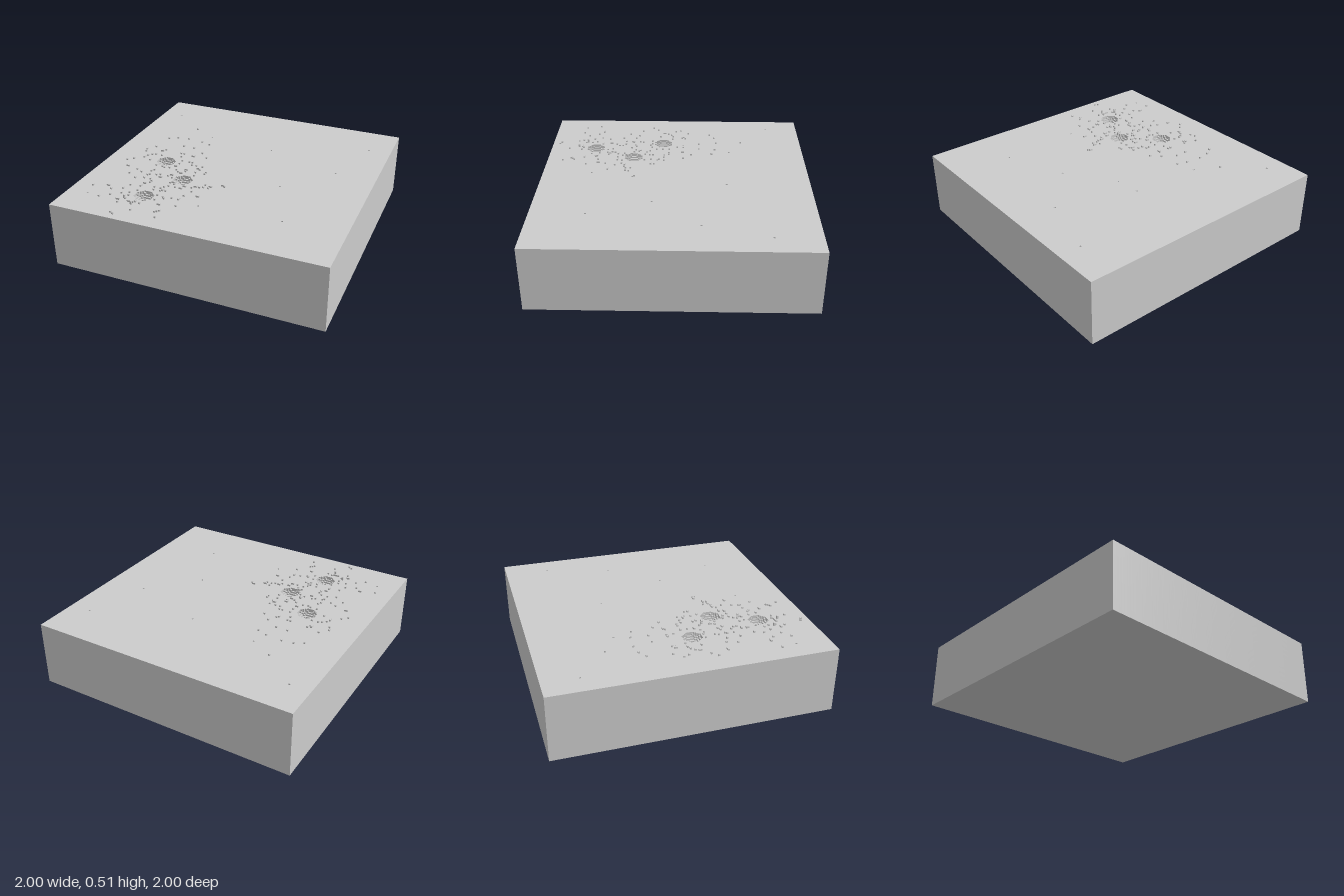
import * as THREE from 'three';
import { mergeGeometries } from 'three/addons/utils/BufferGeometryUtils.js';

const N = 160;            // cells per side
const V = 2 / N;          // cell size
const GROUND = 39;        // ground height in cells

const cell = (p) => Math.floor((p + 1) / V);
const coord = (i) => i * V - 1;

const craters = [[-0.55, 0.1], [-0.31, 0.334], [-0.452, 0.647]].map(([x, z]) => [cell(x), cell(z)]);
const pits = [
  [-0.84, -0.74], [0.83, -0.67], [0.12, -0.38], [0.69, -0.2], [0.38, 0.16],
  [0.55, 0.6], [-0.41, -0.42], [-0.04, 0.63], [-0.84, 0.76],
].map(([x, z]) => [cell(x), cell(z)]);

// Ground height in cells: spherical bowls and single-cell pits sunk into a flat slab
function groundHeight(i, j) {
  if (i < 0 || j < 0 || i >= N || j >= N) return 0;
  for (const [ci, cj] of craters) {
    const r2 = (i - ci) ** 2 + (j - cj) ** 2;
    if (r2 < 30) return GROUND - Math.floor(Math.sqrt(30.25 - r2));
  }
  return pits.some(([a, b]) => a === i && b === j) ? GROUND - 1 : GROUND;
}

// Stepped slab surface: tops merged along rows, walls wherever the height changes
function groundGeometry() {
  const pos = [];
  const quad = (a, b, c, d) => pos.push(...a, ...b, ...c, ...a, ...c, ...d);
  for (let j = 0; j <= N; j++) {
    const z0 = coord(j), z1 = coord(j + 1);
    let start = 0;
    for (let i = 0; i <= N; i++) {
      const x0 = coord(i), x1 = coord(i + 1);
      const h = groundHeight(i, j);
      const left = groundHeight(i - 1, j), back = groundHeight(i, j - 1);
      if (left !== h) {
        const lo = h * V, hi = left * V;
        quad([x0, lo, z1], [x0, lo, z0], [x0, hi, z0], [x0, hi, z1]);
        if (left > 0) {
          const xs = coord(start);
          quad([xs, hi, z0], [xs, hi, z1], [x0, hi, z1], [x0, hi, z0]);
        }
        start = i;
      }
      if (back !== h) {
        const lo = h * V, hi = back * V;
        quad([x0, lo, z0], [x1, lo, z0], [x1, hi, z0], [x0, hi, z0]);
      }
    }
  }
  // Underside
  quad([-1, 0, -1], [1, 0, -1], [1, 0, 1], [-1, 0, 1]);
  const geo = new THREE.BufferGeometry();
  geo.setAttribute('position', new THREE.Float32BufferAttribute(pos, 3));
  geo.computeVertexNormals();
  return geo;
}

function seeded(seed) {
  return () => {
    seed = (seed * 16807) % 2147483647;
    return seed / 2147483647;
  };
}

// Small cubes thrown out around each crater
function debrisGeometry() {
  const random = seeded(4271);
  const cubes = new Map();
  const add = (i, j, level = 0) => {
    if (groundHeight(i, j) !== GROUND) return;
    cubes.set(`${i},${j},${level}`, [i, j, level]);
  };
  for (const [ci, cj] of craters) {
    for (let k = 0; k < 46; k++) {
      const angle = (k + random()) * 2.4;
      const reach = 7 + 19 * random();
      const i = Math.round(ci + reach * Math.cos(angle));
      const j = Math.round(cj + reach * Math.sin(angle));
      add(i, j);
      // Occasional clumps of two
      if (k % 11 === 0) add(i + 1, j);
    }
  }
  // Farthest pieces
  for (const [x, z] of [[-0.58, -0.52], [-0.57, -0.32], [-0.65, -0.31], [-0.44, -0.31],
    [-0.37, -0.28], [-0.72, -0.27], [0.02, 0.32], [-0.07, 0.36], [-0.87, 0.64], [-0.53, 0.945]]) {
    add(cell(x), cell(z));
  }
  // Stacked pairs
  for (const [x, z] of [[-0.565, 0.715], [-0.48, 0.785]]) {
    add(cell(x), cell(z));
    add(cell(x), cell(z), 1);
  }
  return mergeGeometries([...cubes.values()].map(([i, j, level]) =>
    new THREE.BoxGeometry(V, V, V).translate(
      coord(i + 0.5), (GROUND + level + 0.5) * V, coord(j + 0.5))));
}

export function createModel() {
  const group = new THREE.Group();
  group.name = 'crateredGround';
  const material = new THREE.MeshStandardMaterial({ color: 0xcccccc, flatShading: true });

  const ground = new THREE.Mesh(groundGeometry(), material);
  ground.name = 'groundSlab';
  const debris = new THREE.Mesh(debrisGeometry(), material);
  debris.name = 'debris';

  group.add(ground, debris);
  return group;
}
